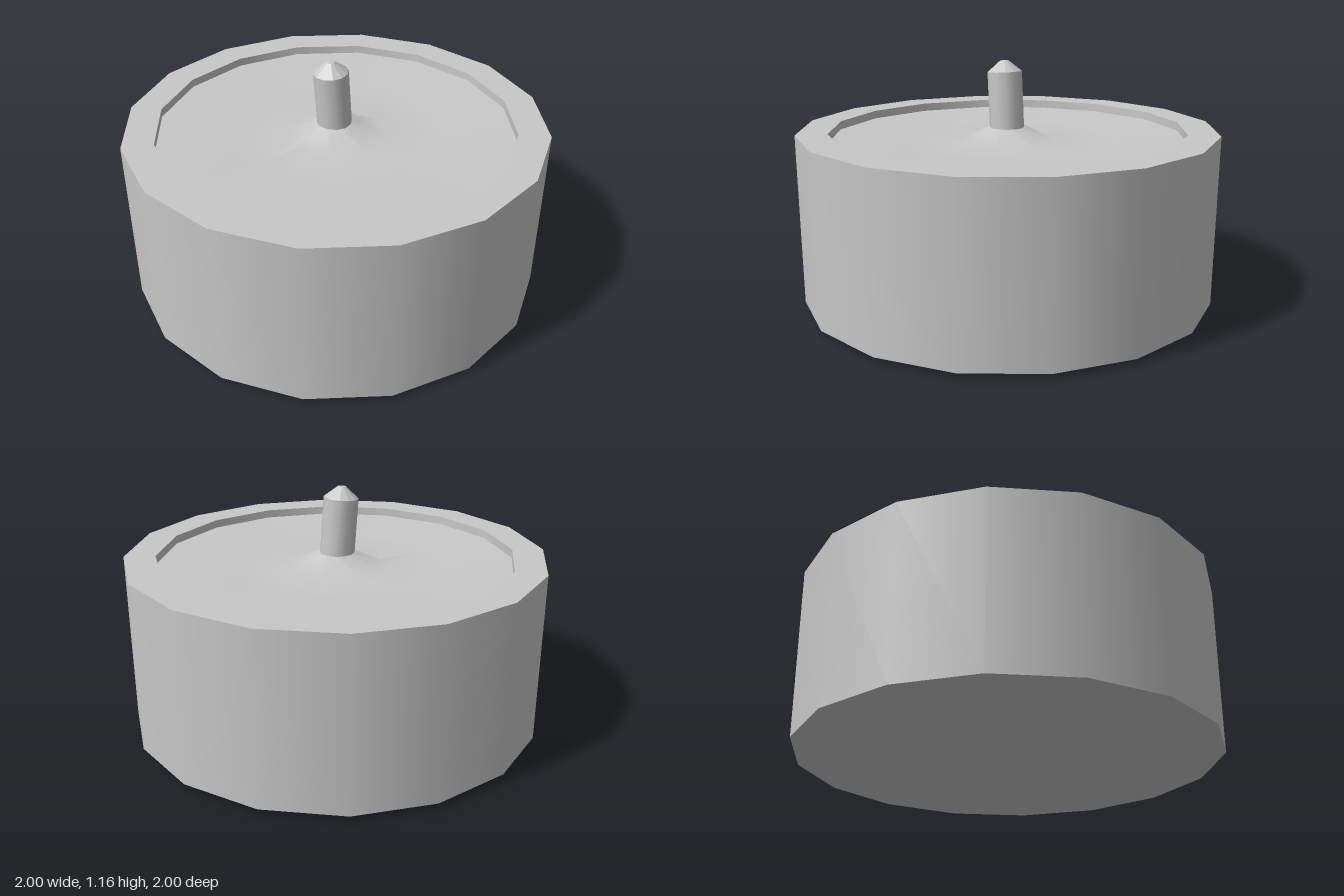
import * as THREE from 'three';

export function createModel() {
  const model = new THREE.Group();
  const wax = new THREE.MeshStandardMaterial({ color: 0xc8c8c8 });
  wax.name = 'light grey';

  const add = (name, geometry, parent = model) => {
    const mesh = new THREE.Mesh(geometry, wax);
    mesh.name = name;
    parent.add(mesh);
    return mesh;
  };
  // Surface of revolution from [radius, y] pairs; each part has its own smooth normals
  const lathe = (points, sides = 16) =>
    new THREE.LatheGeometry(points.map(([r, y]) => new THREE.Vector2(r, y)), sides);
  const faceted = (geometry) => {
    const flat = geometry.toNonIndexed();
    flat.computeVertexNormals();
    return flat;
  };

  // Sixteen-sided body: shallow underside, wall, flat rim and inner lip
  add('underside', lathe([[0, 0], [0.99, 0.025]]));
  add('outerWall', lathe([[0.99, 0.025], [1, 0.84]]));
  add('rim', lathe([[1, 0.84], [0.85, 0.84]]));
  add('innerLip', lathe([[0.85, 0.84], [0.85, 0.8]]));

  // Sunken top rising to a mound; the mound is reduced to eight sides
  const dish = lathe([[0.85, 0.8], [0.5, 0.787], [0.24, 0.775], [0.1, 0.845], [0, 0.848]]);
  const p = dish.attributes.position;
  for (let i = 0; i < p.count; i++) {
    const x = p.getX(i), z = p.getZ(i);
    const column = Math.round(Math.atan2(x, z) / (Math.PI / 8));
    if (Math.hypot(x, z) < 0.3 && column % 2 !== 0) {
      const k = Math.cos(Math.PI / 8);
      p.setXYZ(i, x * k, p.getY(i), z * k);
    }
  }
  dish.computeVertexNormals();
  add('meltedTop', dish);

  // Wick leaning slightly forward, with a blunt pointed tip
  const wick = new THREE.Group();
  wick.name = 'wick';
  wick.position.set(0, 0.8, 0.005);
  wick.rotation.x = 0.075;
  add('wickStem', lathe([[0.082, 0], [0.082, 0.31]], 12), wick);
  add('wickTip', faceted(lathe([[0.082, 0.31], [0.02, 0.362], [0, 0.364]], 12)), wick);
  model.add(wick);

  return model;
}
